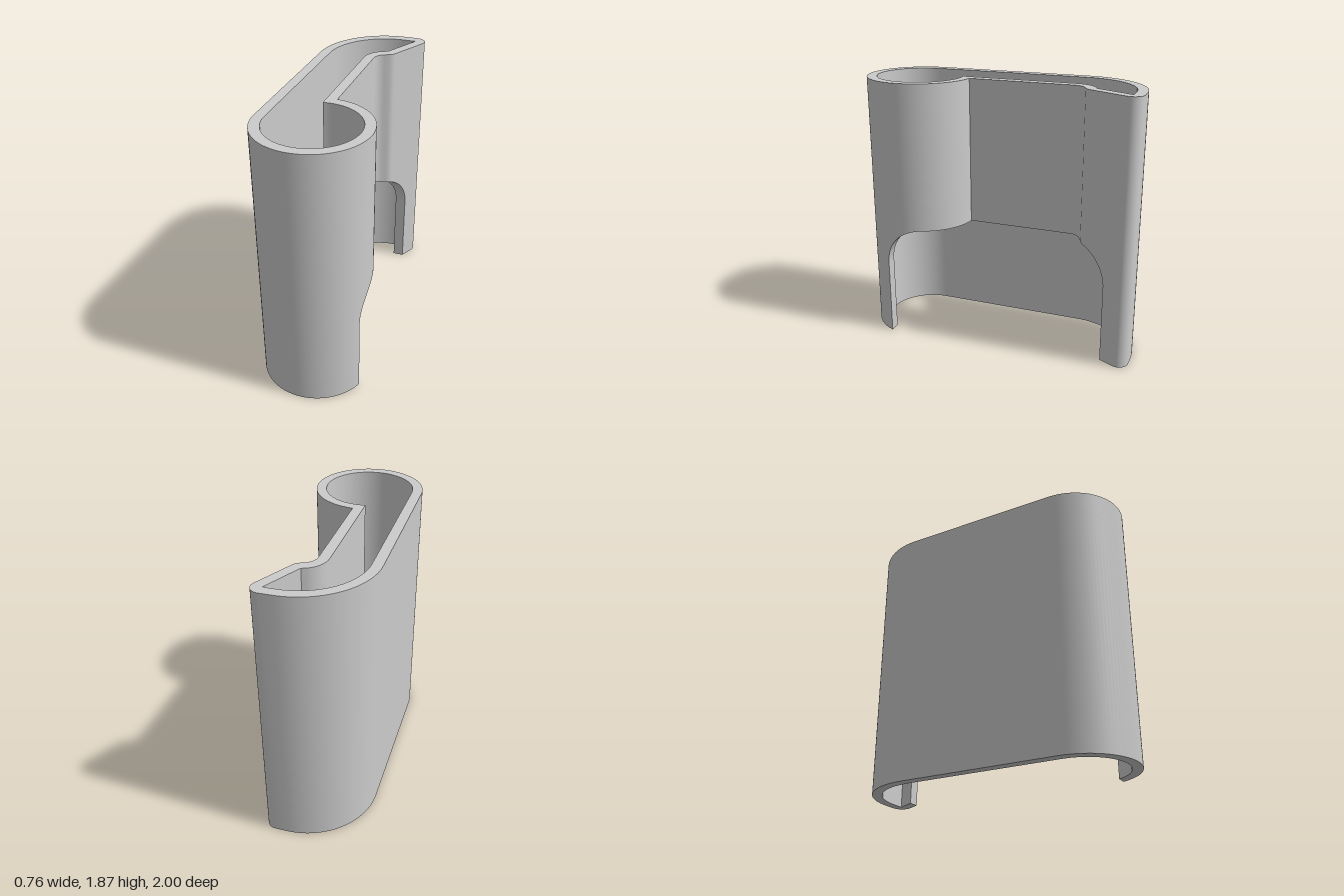
import * as THREE from 'three';
import { toCreasedNormals } from 'three/addons/utils/BufferGeometryUtils.js';

const H = 1.87;                        // overall height
const R = 0.378, r = 0.308, C = 0.622; // front tube: outer and inner radius, centre z
const PX = 0.077, PZ = -0.665;         // inner bend of the rear lip
const QX = 0.21, QZ = -0.93;           // inner tip of the rear lip
const SLOPE = (QX - PX) / (PZ - QZ);
const CUT = 0.28, CUT_Y = 0.55;        // cutout corner radius and its springing height
const FRONT = 0.48, BACK = -0.52;      // ends of the flat top of the cutout

const root = (a, b) => Math.sqrt(Math.max(0, a * a - b * b));

// x of the outer and inner faces of the open side, at a given z
function outerX(z) {
  if (z < -0.633) return 0.139 + (-0.633 - z) * SLOPE;
  if (z < -0.597) return PX + root(0.07, z - PZ);
  if (z < -0.5) return 0.12 - root(0.1, z + 0.5);
  return z < 0.3 ? 0.02 : root(R, z - C);
}
function innerX(z) {
  if (z < PZ) return PX + (PZ - z) * SLOPE;
  if (z < -0.5) return 0.12 - root(0.17, z + 0.5);
  return z < 0.3 ? -0.05 : root(r, z - C);
}

// Cross-section stations around the wall: outer point, inner point, lower edge height
function wallStations() {
  const list = [];
  const add = (ox, oz, ix, iz, low) => list.push({ o: [ox, oz], i: [ix, iz], low });
  const level = (z, low) => add(outerX(z), z, innerX(z), z, low);
  const arc = (n, cx, cz, ro, ri, o0, o1, i0, i1, low) => {
    for (let k = 0; k <= n; k++) {
      const a = o0 + (o1 - o0) * k / n, b = i0 + (i1 - i0) * k / n;
      add(cx + ro * Math.cos(a), cz + ro * Math.sin(a),
        cx + ri * Math.cos(b), cz + ri * Math.sin(b), low);
    }
  };
  const top = CUT_Y + CUT, z1 = FRONT + CUT, z0 = BACK - CUT, N = 32;

  // straight inner side, then the tube above the cutout
  level(-0.5, top);
  arc(20, 0, C, R, r, -Math.acos(0.02 / R), Math.asin((FRONT - C) / R),
    -Math.acos(-0.05 / r), Math.asin((FRONT - C) / r), top);
  // front rounded corner of the cutout
  for (let k = 1; k <= N; k++) {
    const a = k / N * Math.PI / 2;
    level(FRONT + CUT * Math.sin(a), CUT_Y + CUT * Math.cos(a));
  }
  // full-height tube, far side and rear curve
  arc(40, 0, C, R, r, Math.asin((z1 - C) / R), Math.PI, Math.asin((z1 - C) / r), Math.PI, 0);
  arc(28, 0.122, -0.5, 0.5, 0.43, Math.PI, Math.PI * 1.5, Math.PI, Math.PI * 1.5, 0);
  // rounded tip and slanted lip
  const tilt = Math.atan(SLOPE);
  arc(12, QX, QZ, 0.07, 0, -Math.PI / 2, tilt, 0, 0, 0);
  level(z0, 0);
  // rear rounded corner of the cutout
  for (let k = N; k > 0; k--) {
    const a = k / N * Math.PI / 2;
    level(BACK - CUT * Math.sin(a), CUT_Y + CUT * Math.cos(a));
  }
  level(BACK, top);
  return list;
}

function wallGeometry() {
  const pos = [];
  const A = new THREE.Vector3(), B = new THREE.Vector3();
  const tri = (a, b, c) => {
    A.subVectors(b, a); B.subVectors(c, a);
    if (A.cross(B).length() > 1e-9) for (const p of [a, b, c]) pos.push(p.x, p.y, p.z);
  };
  const quad = (a, b, c, d) => { tri(a, b, c); tri(a, c, d); };
  const corners = s => ({
    ob: new THREE.Vector3(s.o[0], s.low, s.o[1]), ot: new THREE.Vector3(s.o[0], H, s.o[1]),
    ib: new THREE.Vector3(s.i[0], s.low, s.i[1]), it: new THREE.Vector3(s.i[0], H, s.i[1]),
  });
  const ring = wallStations().map(corners);
  ring.forEach((p, k) => {
    const q = ring[(k + 1) % ring.length];
    quad(p.ob, p.ot, q.ot, q.ob); // outer face
    quad(p.ib, q.ib, q.it, p.it); // inner face
    quad(p.ot, p.it, q.it, q.ot); // top rim
    quad(p.ob, q.ob, q.ib, p.ib); // lower rim and cutout edge
  });
  const g = new THREE.BufferGeometry();
  g.setAttribute('position', new THREE.Float32BufferAttribute(pos, 3));
  return toCreasedNormals(g, 0.5);
}

export function createModel() {
  const group = new THREE.Group();
  group.name = 'hollowSleeve';
  const wall = new THREE.Mesh(wallGeometry(), new THREE.MeshStandardMaterial({ color: 0xcccccc }));
  wall.name = 'sleeveWall';
  group.add(wall);
  return group;
}
